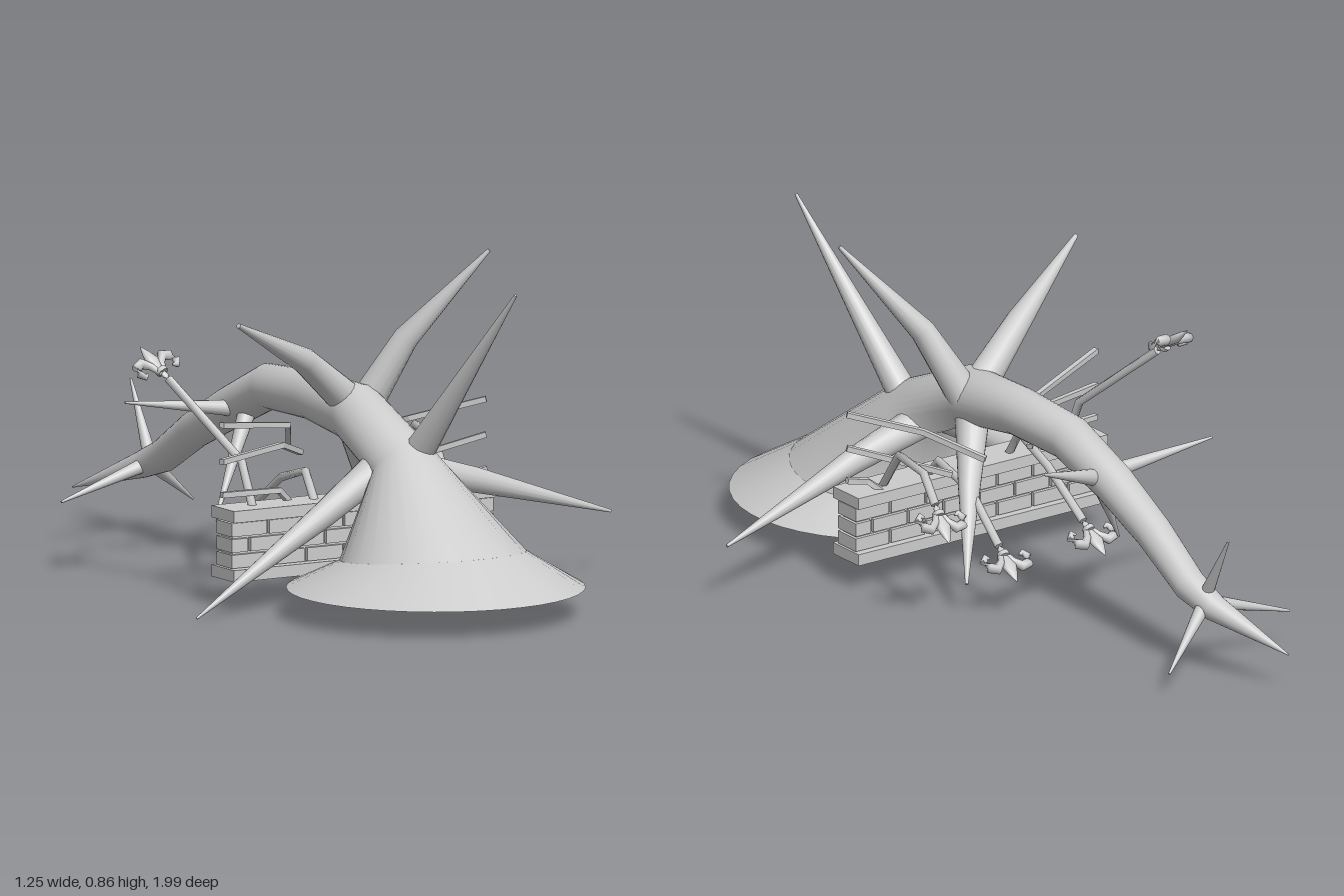
import * as THREE from 'three';

const V = (a) => new THREE.Vector3(a[0], a[1], a[2]);
const grey = new THREE.MeshStandardMaterial({ color: 0xcccccc, side: THREE.DoubleSide });
const flat = new THREE.MeshStandardMaterial({ color: 0xcccccc, side: THREE.DoubleSide, flatShading: true });

// Lofts a limb through rings [x, y, z, radius, optional ring normal], closed at both ends
function limb(name, rings, sides = 14, mat = grey) {
  const n = rings.length, pts = rings.map(V), pos = [], idx = [];
  const run = pts[n - 1].clone().sub(pts[0]);
  const ref = Math.abs(run.x) > 0.6 * run.length() ? V([0, 1, 0]) : V([1, 0, 0]);
  rings.forEach((ring, i) => {
    const t = new THREE.Vector3();
    if (ring[4]) t.copy(V(ring[4])).normalize();
    else {
      if (i > 0) t.add(pts[i].clone().sub(pts[i - 1]).normalize());
      if (i < n - 1) t.add(pts[i + 1].clone().sub(pts[i]).normalize());
      t.normalize();
    }
    const u = ref.clone().addScaledVector(t, -ref.dot(t)).normalize();
    const v = t.clone().cross(u);
    for (let j = 0; j < sides; j++) {
      const a = ((j + 0.5) / sides) * Math.PI * 2;
      const p = pts[i].clone().addScaledVector(u, ring[3] * Math.cos(a)).addScaledVector(v, ring[3] * Math.sin(a));
      pos.push(p.x, p.y, p.z);
    }
  });
  for (let i = 0; i < n - 1; i++) {
    for (let j = 0; j < sides; j++) {
      const k = (j + 1) % sides;
      const a = i * sides + j, b = i * sides + k, c = a + sides, d = b + sides;
      idx.push(a, b, d, a, d, c);
    }
  }
  // End caps have their own vertices so that the rims stay sharp
  for (const end of [0, n - 1]) {
    const s = pos.length / 3;
    for (let j = 0; j < sides; j++) {
      const o = (end * sides + j) * 3;
      pos.push(pos[o], pos[o + 1], pos[o + 2]);
    }
    for (let j = 1; j < sides - 1; j++) {
      if (end === 0) idx.push(s, s + j + 1, s + j);
      else idx.push(s, s + j, s + j + 1);
    }
  }
  const g = new THREE.BufferGeometry();
  g.setAttribute('position', new THREE.Float32BufferAttribute(pos, 3));
  g.setIndex(idx);
  g.computeVertexNormals();
  const mesh = new THREE.Mesh(g, mat);
  mesh.name = name;
  return mesh;
}

function box(name, x0, x1, y0, y1, z0, z1) {
  const m = new THREE.Mesh(new THREE.BoxGeometry(x1 - x0, y1 - y0, z1 - z0), grey);
  m.position.set((x0 + x1) / 2, (y0 + y1) / 2, (z0 + z1) / 2);
  m.name = name;
  return m;
}

// Leaf-shaped finial: a middle petal, two curled side petals and a band
function finial() {
  const g = new THREE.Group();
  g.name = 'finial';
  const profile = [[0.001, 0], [0.009, 0.01], [0.008, 0.03], [0.02, 0.065], [0.012, 0.09], [0.001, 0.115]];
  const petal = new THREE.Mesh(new THREE.LatheGeometry(profile.map((p) => new THREE.Vector2(...p)), 10), grey);
  petal.scale.z = 0.6;
  petal.name = 'middlePetal';
  g.add(petal);
  for (const s of [-1, 1]) {
    g.add(limb('sidePetal', [
      [s * 0.006, 0.02, 0, 0.006], [s * 0.017, 0.05, 0, 0.01], [s * 0.036, 0.069, 0, 0.014],
      [s * 0.056, 0.062, 0, 0.014], [s * 0.064, 0.042, 0, 0.011], [s * 0.054, 0.028, 0, 0.008],
      [s * 0.043, 0.034, 0, 0.003],
    ], 8));
  }
  const band = new THREE.Mesh(new THREE.CylinderGeometry(0.016, 0.016, 0.012, 10), grey);
  band.position.y = 0.028;
  band.name = 'band';
  g.add(band);
  return g;
}

// Bent fence post carrying a finial along its last stretch
function picket(path) {
  const g = new THREE.Group();
  g.name = 'bentPicket';
  g.add(limb('post', path.map((p) => [...p, 0.011]), 6));
  const end = V(path[path.length - 1]);
  const up = end.clone().sub(V(path[path.length - 2])).normalize();
  const side = V([1, 0, 0]).addScaledVector(up, -up.x).normalize();
  const top = finial();
  top.quaternion.setFromRotationMatrix(new THREE.Matrix4().makeBasis(side, up, side.clone().cross(up)));
  top.position.copy(end);
  g.add(top);
  return g;
}

export function createModel() {
  const model = new THREE.Group();

  // Fallen tree: spreading root plate, flared foot and arching trunk
  const tree = new THREE.Group();
  tree.name = 'fallenTree';
  const foot = [-0.06, 0.15, 0.59, 0.235, [0, 0.99, -0.1]];
  tree.add(limb('rootPlate', [[-0.07, 0.075, 0.62, 0.375, [0, 1, 0]], foot], 40));
  tree.add(limb('trunk', [
    foot,
    [-0.045, 0.355, 0.42, 0.084, [0, 0.75, -0.65]],
    [-0.05, 0.455, 0.2, 0.075],
    [-0.057, 0.47, 0, 0.062],
    [-0.06, 0.462, -0.21, 0.058],
    [-0.08, 0.385, -0.37, 0.053],
    [-0.08, 0.305, -0.54, 0.047],
    [-0.075, 0.215, -0.7, 0.042],
    [-0.085, 0.18, -0.79, 0.034],
    [-0.165, 0.1, -0.995, 0.002],
  ], 28));

  // Bare pointed branches: base, optional bend, tip
  const branches = [
    [[-0.025, 0.38, 0.45, 0.04], [0.055, 0.83, 0.8, 0.004]],
    [[-0.02, 0.46, 0.18, 0.045], [0.07, 0.64, 0.24, 0.032], [0.24, 0.865, 0.36, 0.005]],
    [[-0.06, 0.48, 0.18, 0.045], [-0.22, 0.605, 0.23, 0.033], [-0.487, 0.735, 0.355, 0.006]],
    [[-0.02, 0.34, 0.37, 0.045], [0.2, 0.285, 0.355, 0.033], [0.62, 0.163, 0.315, 0.004]],
    [[-0.06, 0.36, 0.365, 0.046], [-0.25, 0.235, 0.37, 0.033], [-0.623, 0.008, 0.38, 0.003]],
    [[-0.04, 0.41, 0.18, 0.045], [0.06, 0.27, 0.055, 0.028], [0.18, 0.09, -0.1, 0.004]],
    [[-0.07, 0.39, -0.33, 0.025], [0.19, 0.49, -0.44, 0.003]],
    [[-0.07, 0.39, -0.315, 0.023], [-0.4, 0.43, -0.345, 0.003]],
    [[-0.07, 0.41, -0.29, 0.025], [-0.235, 0.15, -0.175, 0.003]],
    [[-0.08, 0.19, -0.76, 0.02], [0.105, 0.067, -0.86, 0.003]],
    [[-0.085, 0.18, -0.74, 0.02], [-0.07, 0.385, -0.87, 0.003]],
    [[-0.08, 0.19, -0.76, 0.02], [-0.335, 0.11, -0.765, 0.003]],
  ];
  for (const b of branches) tree.add(limb('branch', b));
  model.add(tree);

  // Brick wall: plinth, recessed mortar core, staggered courses and coping
  const wall = new THREE.Group();
  wall.name = 'brickWall';
  const x0 = -0.47, x1 = 0.3;
  wall.add(box('plinth', x0, x1, 0.075, 0.105, 0.195, 0.305));
  wall.add(box('coping', x0, x1, 0.225, 0.255, 0.195, 0.305));
  wall.add(box('mortar', x0 + 0.012, x1 - 0.012, 0.1, 0.23, 0.222, 0.278));
  const pitch = 0.11;
  for (let row = 0; row < 3; row++) {
    const y = 0.107 + row * 0.04;
    for (let i = -1; i < 7; i++) {
      const start = x0 + i * pitch + (row % 2) * pitch * 0.5;
      const a = Math.max(start + 0.004, x0 + 0.004), b = Math.min(start + pitch - 0.004, x1 - 0.004);
      if (b - a > 0.02) wall.add(box('brick', a, b, y, y + 0.034, 0.212, 0.288));
    }
  }
  model.add(wall);

  // Crushed iron fence: broken rails and bent pickets
  const fence = new THREE.Group();
  fence.name = 'brokenFence';
  const rails = [
    [[-0.47, 0.465, 0.245], [-0.22, 0.43, 0.15], [-0.13, 0.355, 0]],
    [[-0.47, 0.372, 0.245], [-0.25, 0.385, 0.17], [-0.13, 0.34, 0.06]],
    [[-0.47, 0.288, 0.245], [-0.3, 0.285, 0.24], [-0.26, 0.25, 0.22]],
    [[0.3, 0.465, 0.245], [0.14, 0.415, 0.14], [0.05, 0.365, 0]],
    [[0.3, 0.375, 0.245], [0.2, 0.34, 0.19], [0.08, 0.3, 0.1]],
    [[0.3, 0.288, 0.245], [0.24, 0.275, 0.24], [0.21, 0.25, 0.22]],
  ];
  for (const r of rails) fence.add(limb('rail', r.map((p) => [...p, 0.01]), 4, flat));
  fence.add(picket([[-0.38, 0.25, 0.245], [-0.385, 0.36, 0.2], [-0.47, 0.545, -0.015]]));
  fence.add(picket([[-0.2, 0.25, 0.245], [-0.2, 0.32, 0.2], [-0.18, 0.28, 0.05], [-0.18, 0.18, -0.1]]));
  fence.add(picket([[0.05, 0.25, 0.245], [0.05, 0.3, 0.2], [0.06, 0.27, 0.05], [0.08, 0.17, -0.1]]));
  fence.add(picket([[0.19, 0.25, 0.245], [0.2, 0.36, 0.16], [0.24, 0.37, 0], [0.255, 0.31, -0.07]]));
  model.add(fence);

  return model;
}
